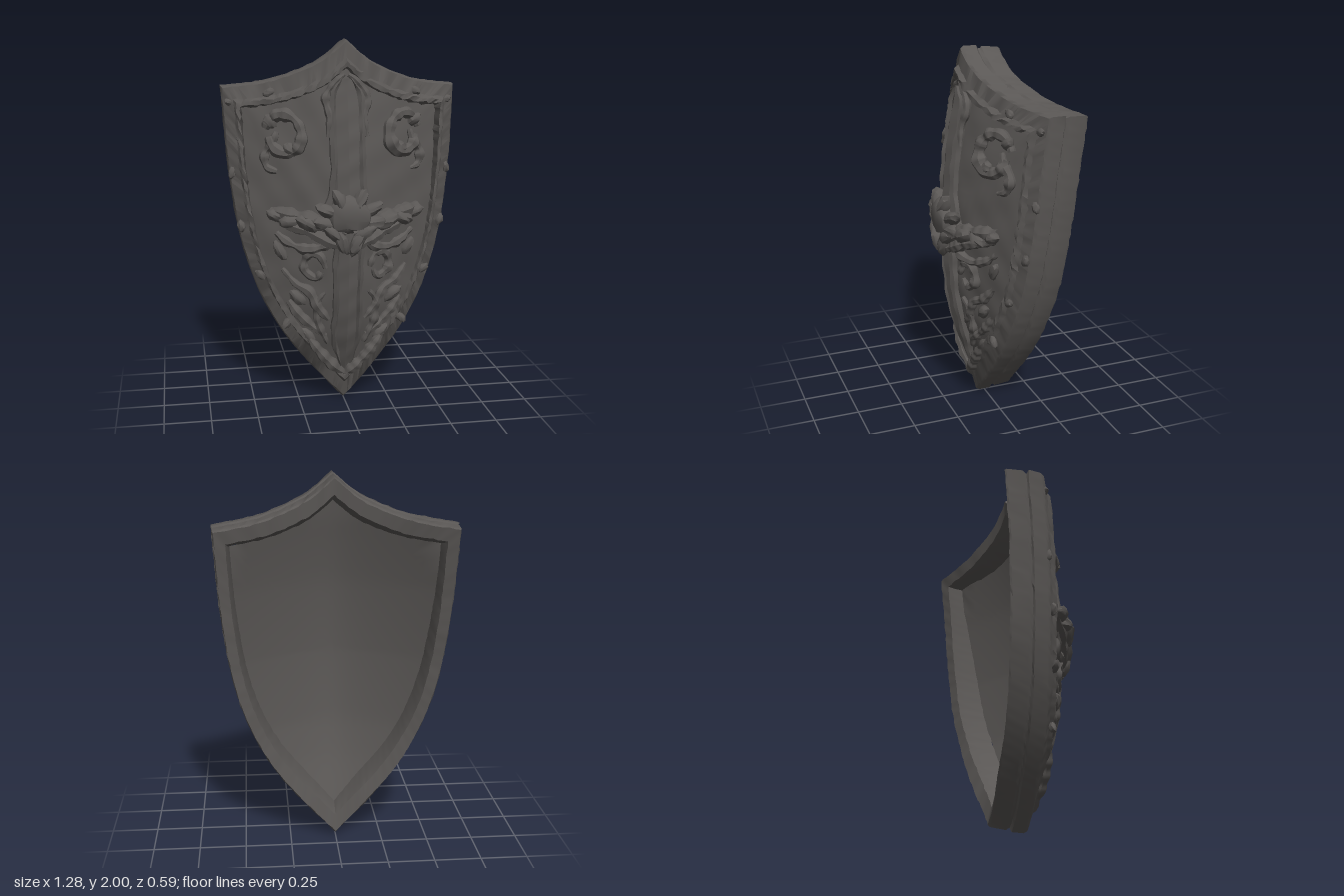
import * as THREE from 'three';
import { toCreasedNormals } from 'three/addons/utils/BufferGeometryUtils.js';

const iron = new THREE.MeshStandardMaterial({ color: 0x5a5755 });
iron.name = 'dark iron';

const V2 = (x, y) => new THREE.Vector2(x, y);
const CENTRE_Y = 1.05;

// Smooth bumpy noise in -1..1 for the hammered, cast surface
const noise = (x, y, z = 0) =>
  (Math.sin(31 * x + 17 * y + 2 * z) + Math.sin(47 * y - 23 * x + 29 * z + 1.3) + Math.sin(61 * x + 53 * z + 39 * y)) / 3;

// Depth along the centre line, from tip to apex
const SPINE = [[0, -0.168], [0.2, -0.138], [0.4, -0.096], [0.6, -0.07], [1, -0.056], [1.4, -0.064], [1.75, -0.088], [2, -0.085]];
function spine(y) {
  let i = 0;
  while (i < SPINE.length - 2 && y > SPINE[i + 1][0]) i++;
  const [a, b] = [SPINE[i], SPINE[i + 1]];
  return THREE.MathUtils.lerp(a[1], b[1], THREE.MathUtils.clamp((y - a[0]) / (b[0] - a[0]), 0, 1));
}
const backZ = (x, y) => spine(y) - 0.4 * (Math.hypot(x, 0.12) - 0.12);
const bulge = (x, y) => Math.max(0, 1 - (x / 0.6) ** 2 - (y - CENTRE_Y) ** 2);
const frontZ = (x, y) => backZ(x, y) + 0.17 + 0.095 * bulge(x, y);

// Shield outline, anticlockwise from the tip
function makeOutline() {
  const side = new THREE.SplineCurve([V2(0, 0.003), V2(0.18, 0.2), V2(0.335, 0.4), V2(0.445, 0.6), V2(0.52, 0.8),
    V2(0.568, 1), V2(0.597, 1.2), V2(0.618, 1.4), V2(0.639, 1.75)]).getSpacedPoints(64);
  const top = new THREE.SplineCurve([V2(0.639, 1.75), V2(0.4, 1.785), V2(0.2, 1.857), V2(0.1, 1.915), V2(0, 2)])
    .getSpacedPoints(26);
  const right = [...side, ...top.slice(1)];
  const left = right.slice(1, -1).reverse().map(p => V2(-p.x, p.y));
  return [...right, ...left];
}
const OUTLINE = makeOutline();
const N = OUTLINE.length;
function insetPoint(i, d) {
  const s = 1 - 1.55 * d, p = OUTLINE[i % N];
  return [p.x * s, CENTRE_Y + (p.y - CENTRE_Y) * s];
}

function part(name, geometry, crease = 0.7) {
  const mesh = new THREE.Mesh(toCreasedNormals(geometry, crease), iron);
  mesh.name = name;
  return mesh;
}

// Surface from rows of points: fn(i, j) gives [x, y, z]
function grid(cols, rows, fn, closed = false) {
  const pos = [], idx = [], last = closed ? cols : cols - 1;
  for (let j = 0; j < rows; j++) for (let i = 0; i < cols; i++) pos.push(...fn(i, j));
  for (let j = 0; j < rows - 1; j++) for (let i = 0; i < last; i++) {
    const k = (i + 1) % cols, a = j * cols + i, b = j * cols + k;
    idx.push(a, b, b + cols, a, b + cols, a + cols);
  }
  const g = new THREE.BufferGeometry();
  g.setAttribute('position', new THREE.Float32BufferAttribute(pos, 3));
  g.setIndex(idx);
  return g;
}

// Raised cord lying on the front, tapered and uneven
function cord(name, pts, r, lift = 0.01, taper = 0.5) {
  const flat = new THREE.SplineCurve(pts.map(p => V2(p[0], p[1]))).getSpacedPoints(pts.length * 4);
  const curve = new THREE.CatmullRomCurve3(flat.map(p => new THREE.Vector3(p.x, p.y, frontZ(p.x, p.y) + lift)));
  const n = pts.length * 6, sides = 7;
  const g = new THREE.TubeGeometry(curve, n, r, sides, false);
  const pos = g.attributes.position, v = new THREE.Vector3();
  for (let i = 0; i < pos.count; i++) {
    const t = Math.floor(i / (sides + 1)) / n, c = curve.getPointAt(t);
    v.fromBufferAttribute(pos, i).sub(c);
    v.multiplyScalar((1 - taper * Math.abs(2 * t - 1) ** 3) * (1 + 0.4 * noise(c.x * 1.6, c.y * 1.6)));
    pos.setXYZ(i, c.x + v.x, c.y + v.y, c.z + v.z);
  }
  return part(name, g);
}

// Low leaf or knob on the front: length, width, height and turn
function leaf(name, x, y, l, w, h, turn = 0, lift = 0) {
  const g = new THREE.SphereGeometry(1, 10, 7);
  const pos = g.attributes.position;
  for (let i = 0; i < pos.count; i++) {
    const k = 1 + 0.2 * noise(pos.getX(i) * 0.1 + x, pos.getY(i) * 0.1 + y, pos.getZ(i) * 0.1);
    pos.setXYZ(i, pos.getX(i) * l * k, pos.getY(i) * w * k, pos.getZ(i) * h * k);
  }
  g.rotateZ(turn);
  g.translate(x, y, frontZ(x, y) + lift);
  return part(name, g);
}

// Upright band with raised edges and a centre crease
function band(name, y0, y1, width) {
  const us = [-1, -1, -0.78, -0.62, 0, 0.62, 0.78, 1, 1];
  const hs = [-0.03, 0.026, 0.036, 0.018, 0.034, 0.018, 0.036, 0.026, -0.03];
  return part(name, grid(us.length, 25, (i, j) => {
    const t = j / 24, y = y0 + (y1 - y0) * t;
    const x = us[i] * (width(t) + 0.008 * noise(us[i], y));
    return [x, y, frontZ(x, y) + hs[i] + (i > 1 && i < 7 ? 0.005 * noise(x, y) : 0)];
  }), 0.5);
}

export function createModel() {
  const model = new THREE.Group();
  model.name = 'shield';

  // Rim section: [inset, depth], from the back recess round to the front lip
  const section = [[0.1, 0.13], [0.088, 0.04], [0.074, 0.005], [0.016, 0], [0.01, 0.012], [0.005, 0.1], [0.012, 0.112],
    [0.012, 0.12], [0, 0.132], [0, 0.2], [0.008, 0.214], [0.064, 0.226], [0.076, 0.246], [0.094, 0.246], [0.112, 0.15]];
  model.add(part('rim', grid(N, section.length, (i, j) => {
    const p = OUTLINE[i % N];
    const jitter = p.x === 0 ? 0 : (j > 10 ? 0.007 : 0.003) * noise(p.x * 2, p.y * 2, j);
    const [x, y] = insetPoint(i, section[j][0] + jitter);
    return [x, y, backZ(x, y) + section[j][1] + (j > 10 ? 0.008 : 0.003) * noise(p.x * 1.5, p.y * 1.5, j * 0.3)];
  }, true), 0.6));

  // Front and hollow back panels, built as shrinking rings
  const rings = 14, edgeScale = 0.845;
  const ringPoint = (i, s) => insetPoint(i, (1 - s) / 1.55);
  model.add(part('frontPanel', grid(N, rings + 1, (i, j) => {
    const [x, y] = ringPoint(i, edgeScale * (1 - j / rings));
    return [x, y, frontZ(x, y) + 0.006 * noise(x * 0.6, y * 0.6)];
  }, true)));
  model.add(part('backPanel', grid(N, rings + 1, (i, j) => {
    const [x, y] = ringPoint(i, (edgeScale + 0.01) * j / rings);
    return [x, y, backZ(x, y) + 0.08 + 0.12 * bulge(x, y)];
  }, true)));

  // Cross: upper and lower bands with flared ends
  model.add(band('upperBand', 1.06, 1.8, t =>
    0.095 + 0.05 * Math.max(0, 1 - t * 4) - Math.max(0, t - 0.9) * 0.6));
  model.add(band('lowerBand', 0.19, 1.06, t => 0.03 + 0.05 * Math.min(1, t * 5)));

  // Central boss
  model.add(leaf('boss', 0, 1.09, 0.12, 0.1, 0.06, 0, 0.03));

  for (const s of [1, -1]) {
    const path = pts => pts.map(([x, y]) => [s * x, y]);
    const addCord = (name, pts, r, lift, taper) => model.add(cord(name, path(pts), r, lift, taper));
    const addLeaf = (name, x, y, l, w, h, turn, lift) => model.add(leaf(name, s * x, y, l, w, h, s * turn, lift));

    // Overlapping leaves round the boss
    for (const [x, y, turn] of [[0.05, 1.17, 1.1], [0.11, 1.12, 0.35], [0.13, 1.05, 0.1], [0.08, 1.0, 0.6], [0.04, 0.95, 1.1]])
      addLeaf('bossLeaf', x, y, 0.075, 0.035, 0.045, turn, 0.04);

    // Leafy cross arms, sagging towards the middle
    addCord('crossArmTop', [[0.02, 1.0], [0.12, 1.04], [0.22, 1.08], [0.31, 1.09], [0.4, 1.11]], 0.036, 0.035);
    addCord('crossArmBottom', [[0.01, 0.92], [0.1, 0.95], [0.2, 1.0], [0.29, 1.03], [0.38, 1.06]], 0.034, 0.025);
    addCord('crossArmCurl', [[0.06, 0.97], [0.13, 0.92], [0.22, 0.9], [0.31, 0.93], [0.37, 0.98]], 0.026, 0.012);
    addLeaf('armLeaf', 0.21, 1.05, 0.07, 0.04, 0.05, 0.5, 0.045);
    addLeaf('armLeaf', 0.3, 1.06, 0.07, 0.035, 0.045, -0.3, 0.045);
    addLeaf('armLeaf', 0.38, 1.08, 0.05, 0.03, 0.04, 0.4, 0.045);

    // Upper scroll ring
    const scroll = [];
    for (let k = 0; k <= 14; k++) {
      const a = 0.3 + k * 0.42, r = 0.115 - 0.002 * k;
      scroll.push([0.32 + r * Math.cos(a) * 0.85, 1.5 + r * Math.sin(a)]);
    }
    addCord('upperScroll', scroll, 0.034, 0.012, 0.3);
    addCord('scrollTail', [[0.36, 1.52], [0.38, 1.46], [0.42, 1.4], [0.41, 1.33], [0.36, 1.31]], 0.026, 0.008);
    addLeaf('scrollKnob', 0.29, 1.43, 0.045, 0.035, 0.03, 0.5, 0.015);
    addLeaf('scrollKnob', 0.39, 1.57, 0.045, 0.03, 0.03, 0.8, 0.015);

    // Head flare beside the upper band
    addCord('headFlare', [[0.01, 1.82], [0.06, 1.78], [0.11, 1.7], [0.09, 1.6], [0.105, 1.5]], 0.022, 0.015);

    // Lower foliage
    addCord('lowerScroll', [[0.12, 0.8], [0.15, 0.87], [0.21, 0.87], [0.23, 0.79], [0.17, 0.74], [0.14, 0.78]], 0.026, 0.01);
    addCord('lowerStem', [[0.1, 0.5], [0.16, 0.58], [0.2, 0.66], [0.27, 0.7], [0.34, 0.78]], 0.026, 0.008);
    addCord('lowerStem', [[0.11, 0.4], [0.19, 0.46], [0.26, 0.53], [0.31, 0.6]], 0.026, 0.008);
    addCord('lowerCurl', [[0.12, 0.66], [0.16, 0.6], [0.16, 0.5], [0.13, 0.42], [0.1, 0.35]], 0.022, 0.01);
    addLeaf('lowerLeaf', 0.35, 0.88, 0.06, 0.028, 0.025, 1.1, 0.01);
    addLeaf('lowerLeaf', 0.26, 0.62, 0.06, 0.03, 0.03, 0.7, 0.01);
    addLeaf('lowerLeaf', 0.2, 0.39, 0.06, 0.028, 0.025, 0.9, 0.01);

    // Heavy lip folded round the tip
    addCord('tipLip', [[0, 0.16], [0.07, 0.22], [0.14, 0.3], [0.2, 0.38]], 0.03, 0.035);

    // Worn, half-buried lumps along the rim
    for (const i of [18, 29, 39, 49, 63, 72]) {
      const [x, y] = insetPoint(i, i === 39 || i === 49 ? 0.02 : 0.05);
      addLeaf('rimLump', x, y, 0.035, 0.022, 0.02, i, 0.04);
    }
  }
  return model;
}
